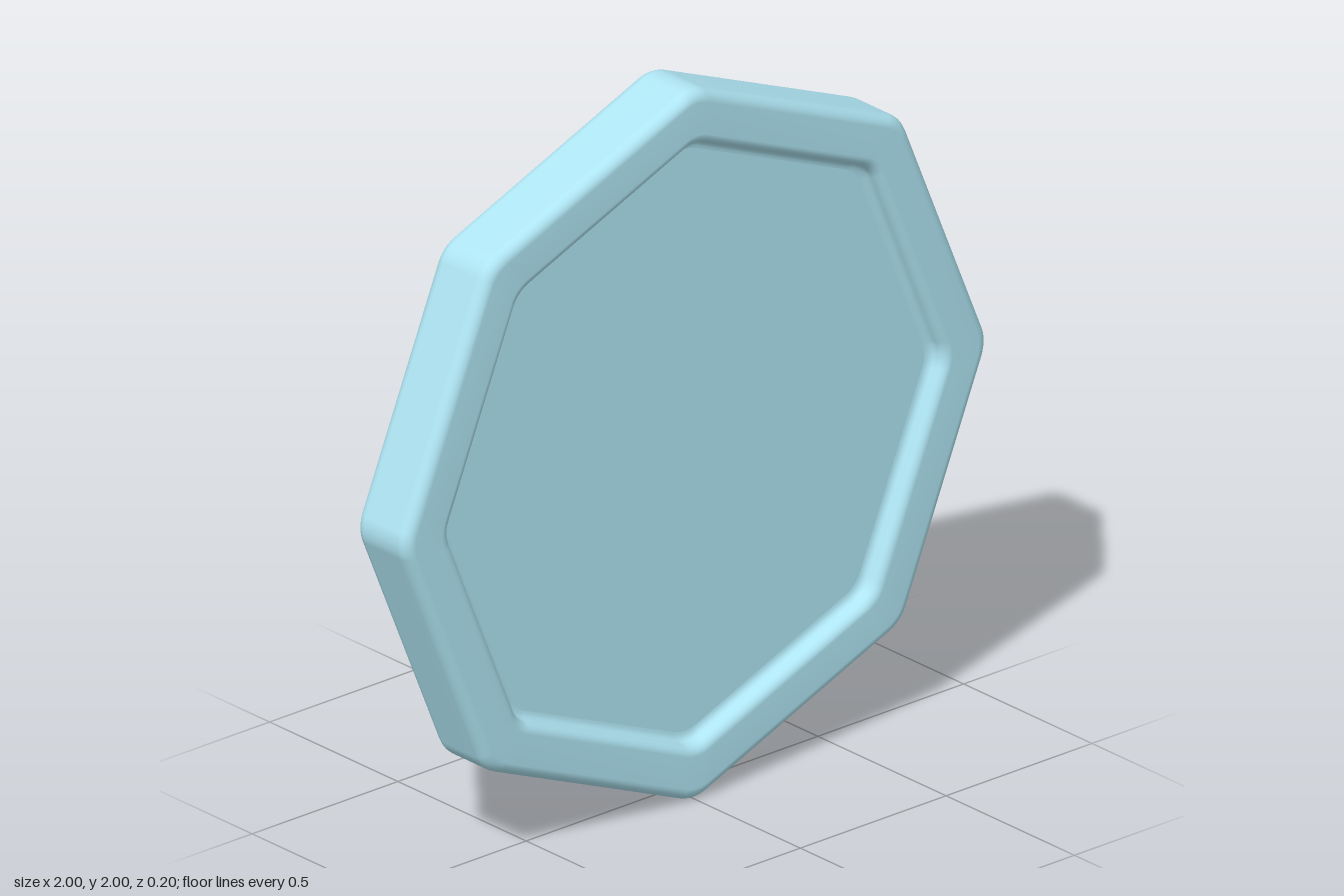
import * as THREE from 'three';

const SIDES = 8, CORNER_STEPS = 6, STEP = (Math.PI * 2) / SIDES;

// Octagon outline with rounded corners; reach is the distance to a corner tip
function outline(reach, round) {
  const points = [];
  for (let k = 0; k < SIDES; k++) {
    for (let i = 0; i <= CORNER_STEPS; i++) {
      const a = k * STEP, b = a + (i / CORNER_STEPS - 0.5) * STEP;
      points.push(new THREE.Vector2(
        (reach - round) * Math.cos(a) + round * Math.cos(b),
        (reach - round) * Math.sin(a) + round * Math.sin(b)));
    }
  }
  return points;
}

// Quarter-round from angle a to b, as [reach, z] pairs
function arc(cx, cz, rx, rz, a, b, steps = 5) {
  return Array.from({ length: steps + 1 }, (_, i) => {
    const t = a + ((b - a) * i) / steps;
    return [cx + rx * Math.cos(t), cz + rz * Math.sin(t)];
  });
}

// Sweep a [reach, z] profile around the octagon
function sweep(profile) {
  const positions = [], indices = [];
  const count = SIDES * (CORNER_STEPS + 1);
  for (const [reach, z] of profile) {
    for (const p of outline(reach, 0.1)) positions.push(p.x, p.y, z);
  }
  for (let i = 0; i < profile.length - 1; i++) {
    for (let j = 0; j < count; j++) {
      const n = (j + 1) % count;
      const a = i * count + j, b = a + count, c = (i + 1) * count + n, d = i * count + n;
      indices.push(a, b, c, a, c, d);
    }
  }
  const geometry = new THREE.BufferGeometry();
  geometry.setAttribute('position', new THREE.Float32BufferAttribute(positions, 3));
  geometry.setIndex(indices);
  geometry.computeVertexNormals();
  return geometry;
}

export function createModel() {
  const group = new THREE.Group();
  group.name = 'octagonalTray';
  const material = new THREE.MeshStandardMaterial({ color: 0xaee4f2 });
  const H = Math.PI / 2;

  // Frame: inner fillet, rounded lip, flat face, rounded rim, then the same mirrored behind
  const front = [
    ...arc(0.82, 0.07, 0.025, 0.02, -H, 0),
    ...arc(0.875, 0.071, 0.03, 0.029, Math.PI, H),
    ...arc(0.965, 0.065, 0.035, 0.035, H, 0),
  ];
  const back = front.map(([r, z]) => [r, -z]).reverse();
  const frame = new THREE.Mesh(sweep([...front, ...back]), material);
  frame.name = 'frame';

  // Panel: recessed equally on both faces
  const panelGeometry = new THREE.ExtrudeGeometry(
    new THREE.Shape(outline(0.821, 0.1)), { depth: 0.1, bevelEnabled: false });
  panelGeometry.translate(0, 0, -0.05);
  const panel = new THREE.Mesh(panelGeometry, material);
  panel.name = 'panel';

  for (const part of [frame, panel]) {
    part.position.y = 1;
    group.add(part);
  }
  return group;
}
